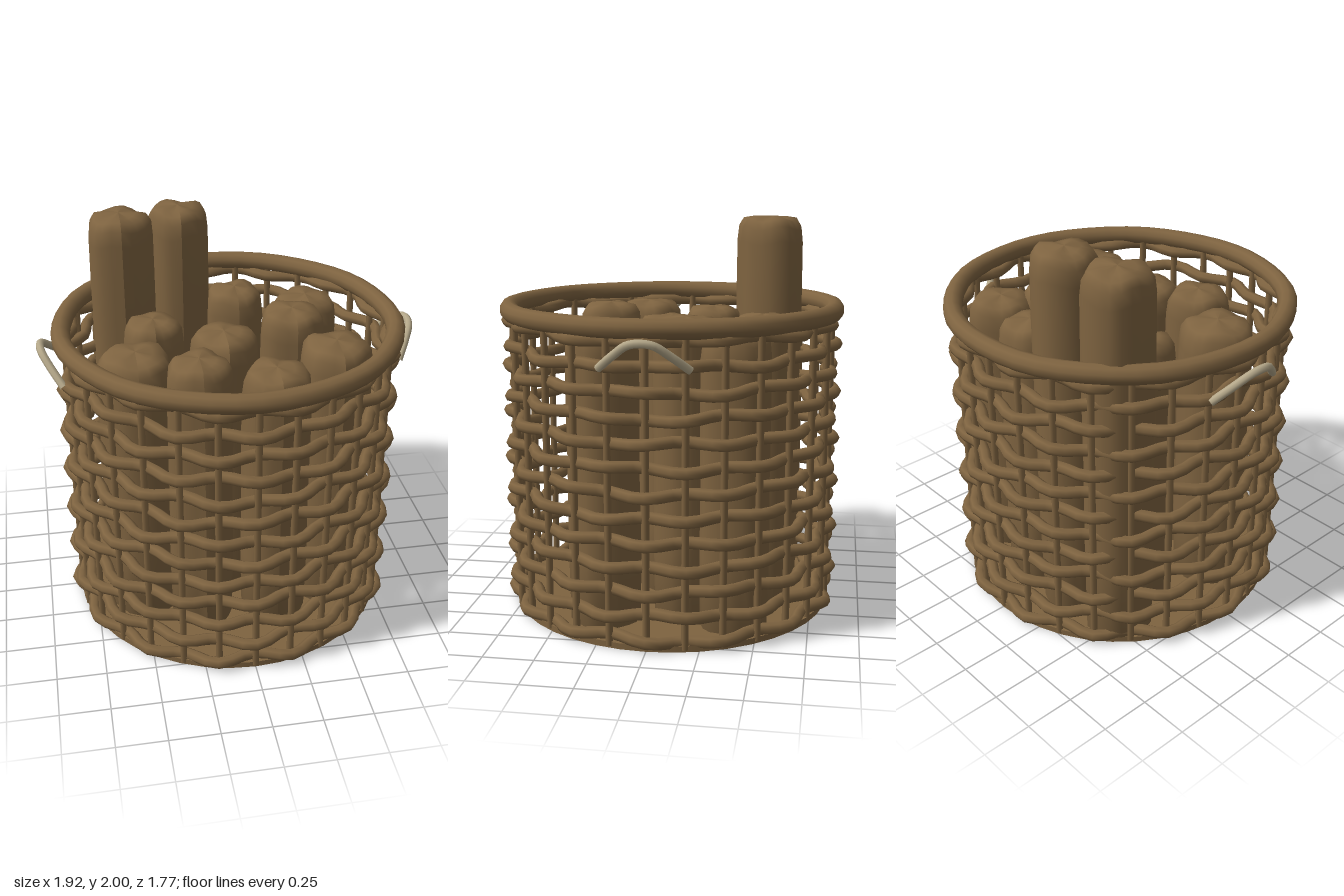
import * as THREE from 'three';

const STAKES = 28, ROWS = 13;
const WICKER_RADIUS = 0.82;

// Closed ring path given radius and height as functions of the angle
class RingCurve extends THREE.Curve {
  constructor(radiusAt, heightAt) {
    super();
    this.radiusAt = radiusAt;
    this.heightAt = heightAt;
  }
  getPoint(t, target = new THREE.Vector3()) {
    const a = t * Math.PI * 2, r = this.radiusAt(a);
    return target.set(r * Math.cos(a), this.heightAt(a), r * Math.sin(a));
  }
}

// Log: lathed profile with rounded top, made lumpy by a few harmonics
function logGeometry(radius, top, seed) {
  const h = top - 0.03;
  const profile = [
    [0, 0], [0.96, 0], [1, h * 0.25], [0.98, h * 0.5], [1, h * 0.75],
    [0.99, h - 0.13], [0.94, h - 0.055], [0.8, h - 0.015], [0.5, h - 0.004], [0, h],
  ].map(([r, y]) => new THREE.Vector2(r * radius, y));
  const geometry = new THREE.LatheGeometry(profile, 20);
  const p = geometry.attributes.position;
  for (let i = 0; i < p.count; i++) {
    const x = p.getX(i), y = p.getY(i), z = p.getZ(i);
    const r = Math.hypot(x, z);
    if (r < 0.001) continue;
    const a = Math.atan2(z, x), twist = seed + y * 0.5;
    const lump = 1 + 0.035 * Math.sin(3 * a + twist) + 0.025 * Math.sin(5 * a + seed * 2.3)
      + 0.02 * Math.sin(8 * a - seed + y * 2);
    const dip = y > h - 0.2 ? 0.012 * Math.sin(4 * a + seed * 1.7) * r / radius - 0.004 : 0;
    p.setXYZ(i, x * lump, y + dip, z * lump);
  }
  geometry.computeVertexNormals();
  return geometry;
}

export function createModel() {
  const model = new THREE.Group();
  model.name = 'logBasket';

  const brown = new THREE.MeshStandardMaterial({ color: 0x7e6340 });
  brown.name = 'wicker brown';
  const rope = new THREE.MeshStandardMaterial({ color: 0xb5a88a });
  rope.name = 'pale rope';

  const add = (name, geometry, material, parent = model) => {
    const mesh = new THREE.Mesh(geometry, material);
    mesh.name = name;
    parent.add(mesh);
    return mesh;
  };
  const group = (name) => {
    const g = new THREE.Group();
    g.name = name;
    model.add(g);
    return g;
  };

  // Floor disc
  add('basketFloor', new THREE.CylinderGeometry(0.83, 0.83, 0.03, 40), brown).position.y = 0.015;

  // Upright stakes
  const stakes = group('stakes');
  const stakeGeometry = new THREE.CylinderGeometry(0.018, 0.018, 1.52, 6);
  for (let i = 0; i < STAKES; i++) {
    const a = (i / STAKES) * Math.PI * 2;
    add('stake', stakeGeometry, brown, stakes)
      .position.set(WICKER_RADIUS * Math.cos(a), 0.77, WICKER_RADIUS * Math.sin(a));
  }

  // Woven rows, passing alternately inside and outside the stakes
  const weave = group('weave');
  for (let i = 0; i < ROWS; i++) {
    const y = 0.05 + i * 0.1195;
    const path = new RingCurve(
      (a) => WICKER_RADIUS + 0.028 * Math.cos(a * STAKES / 2 + i * Math.PI),
      (a) => y + 0.006 * Math.sin(5 * a + i * 1.9) + 0.006 * Math.sin(9 * a + i * 2.7),
    );
    add('weaveRow', new THREE.TubeGeometry(path, 84, 0.03, 7, true), brown, weave);
  }

  // Thick rim
  const rim = new RingCurve((a) => 0.837 + 0.003 * Math.sin(9 * a), () => 1.542);
  add('rim', new THREE.TubeGeometry(rim, 48, 0.048, 10, true), brown);

  // Rope handles on both sides
  for (const side of [-1, 1]) {
    const points = [
      [0.84, 1.36, 0.21], [0.895, 1.43, 0.13], [0.935, 1.485, 0.05],
      [0.935, 1.485, -0.05], [0.895, 1.43, -0.13], [0.84, 1.36, -0.21],
    ].map(([x, y, z]) => new THREE.Vector3(x * side, y, z));
    const path = new THREE.CatmullRomCurve3(points);
    add(side > 0 ? 'leftHandle' : 'rightHandle', new THREE.TubeGeometry(path, 24, 0.02, 8), rope);
  }

  // Logs: x, z, radius, top height
  const logs = group('logs');
  [
    [-0.49, -0.46, 0.17, 1.99], [-0.18, -0.5, 0.16, 2.0], [0.12, -0.48, 0.155, 1.53],
    [0.49, -0.38, 0.17, 1.5], [0.36, -0.13, 0.17, 1.54], [-0.36, -0.18, 0.155, 1.51],
    [-0.02, 0, 0.175, 1.5], [-0.49, 0.2, 0.185, 1.52], [-0.2, 0.36, 0.163, 1.54],
    [0.18, 0.36, 0.173, 1.46], [0.5, 0.26, 0.18, 1.53],
  ].forEach(([x, z, radius, top], i) => {
    add('log', logGeometry(radius, top, i * 1.37 + 0.5), brown, logs).position.set(x, 0.03, z);
  });

  return model;
}
